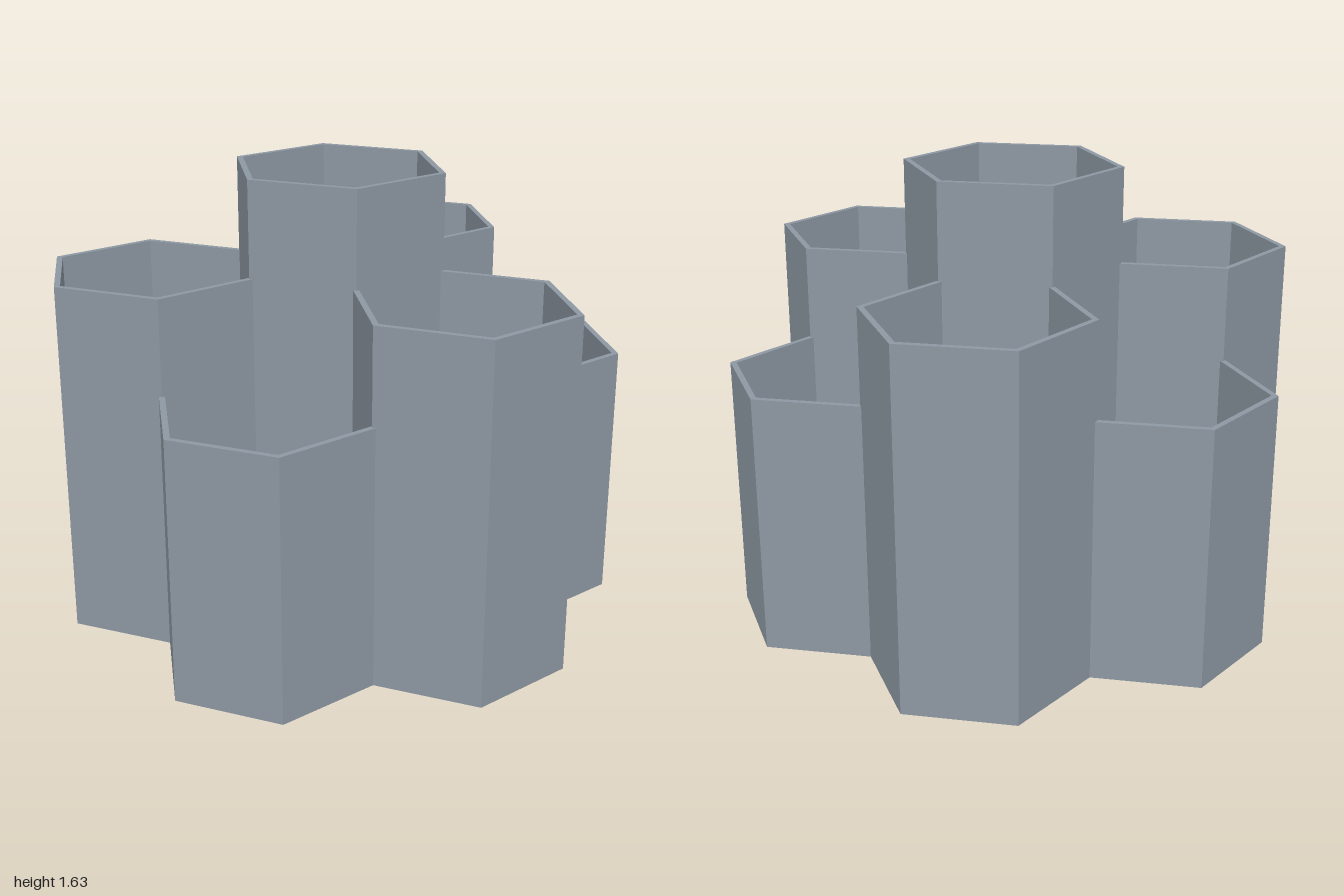
import * as THREE from 'three';

const WALL = 0.0205;      // wall thickness, shared by neighbouring cells
const INNER = 0.3197;     // flat-to-centre distance of a cell's inside
const PITCH = 2 * INNER + WALL;
const FLOOR = 0.02;

// Hollow six-sided cup, points towards +z and -z
function cupGeometry(height) {
  const toCorner = 1 / Math.cos(Math.PI / 6);
  const outer = (INNER + WALL) * toCorner;
  const inner = INNER * toCorner;
  const profile = [
    [0, 0], [outer, 0], [outer, height], [inner, height], [inner, FLOOR], [0, FLOOR],
  ].map(([r, y]) => new THREE.Vector2(r, y));
  const geometry = new THREE.LatheGeometry(profile, 6).toNonIndexed();
  geometry.computeVertexNormals();
  return geometry;
}

export function createModel() {
  const group = new THREE.Group();
  group.name = 'hexagonalOrganizer';

  const slate = new THREE.MeshStandardMaterial({ color: 0x8e99a4, flatShading: true });
  slate.name = 'slateGrey';

  function addCup(name, height, x, z) {
    const cup = new THREE.Mesh(cupGeometry(height), slate);
    cup.name = name;
    cup.position.set(x, 0, z);
    group.add(cup);
  }

  // Tall centre cup
  addCup('centreCup', 1.63, 0, 0);

  // Ring of six cups, alternating in height
  for (let i = 0; i < 6; i++) {
    const angle = (i * Math.PI) / 3;
    const isMedium = i % 2 === 0;
    addCup(
      isMedium ? 'mediumCup' : 'shortCup',
      isMedium ? 1.285 : 0.943,
      PITCH * Math.cos(angle),
      PITCH * Math.sin(angle),
    );
  }

  return group;
}
